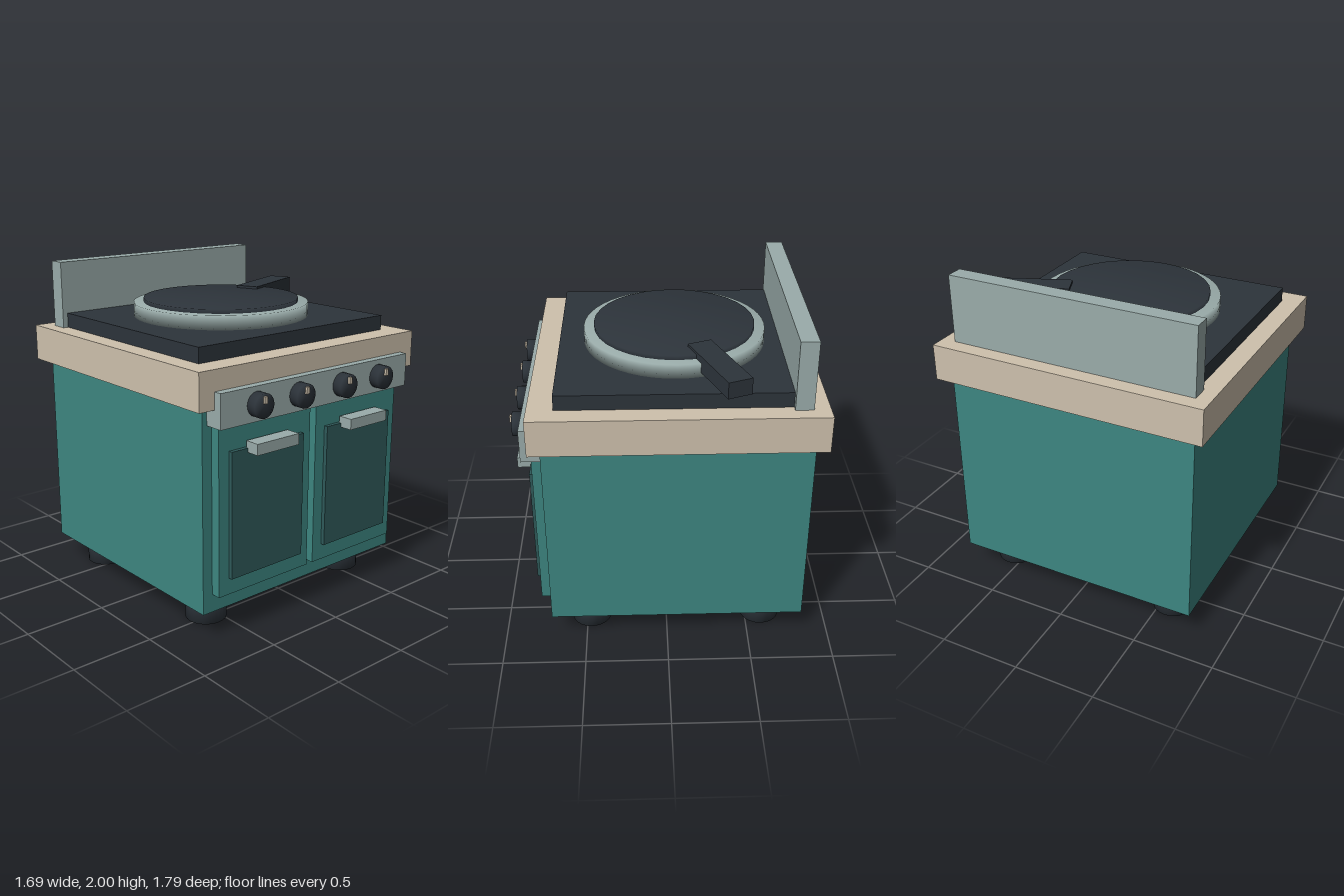
import * as THREE from 'three';
import { mergeVertices } from 'three/addons/utils/BufferGeometryUtils.js';

export function createModel() {
  const group = new THREE.Group();
  const mat = (name, color) => {
    const m = new THREE.MeshStandardMaterial({ color });
    m.name = name;
    return m;
  };
  const teal = mat('teal enamel', 0x3d8681);
  const glass = mat('dark teal glass', 0x2f5a5a);
  const cream = mat('cream worktop', 0xcec1ad);
  const steel = mat('grey steel', 0x9aacaa);
  const iron = mat('black iron', 0x2d343b);

  // Box given by its extents on each axis
  const box = (name, material, [x0, x1], [y0, y1], [z0, z1]) => {
    const mesh = new THREE.Mesh(new THREE.BoxGeometry(x1 - x0, y1 - y0, z1 - z0), material);
    mesh.position.set((x0 + x1) / 2, (y0 + y1) / 2, (z0 + z1) / 2);
    mesh.name = name;
    group.add(mesh);
    return mesh;
  };

  // Cylinder whose rim normals are averaged for soft, rounded shading
  const disc = (name, material, r, h, x, y, z, sides = 32) => {
    let geo = new THREE.CylinderGeometry(r, r, h, sides);
    geo.deleteAttribute('normal');
    geo.deleteAttribute('uv');
    geo = mergeVertices(geo, 1e-4);
    geo.computeVertexNormals();
    const mesh = new THREE.Mesh(geo, material);
    mesh.position.set(x, y, z);
    mesh.name = name;
    group.add(mesh);
    return mesh;
  };

  // Cabinet, worktop and splashback
  box('cabinet', teal, [-0.775, 0.775], [0.16, 1.37], [-0.83, 0.71]);
  box('worktop', cream, [-0.845, 0.845], [1.37, 1.59], [-0.895, 0.775]);
  box('splashback', steel, [-0.76, 0.76], [1.59, 2], [-0.8, -0.695]);

  // Feet
  for (const x of [-0.568, 0.566])
    for (const z of [0.475, -0.595]) disc('foot', iron, 0.123, 0.16, x, 0.08, z, 24);

  // Doors with windows and handles
  for (const x of [-0.368, 0.364]) {
    box('door', teal, [x - 0.342, x + 0.342], [0.27, 1.3], [0.7, 0.77]);
    box('doorWindow', glass, [x - 0.27, x + 0.27], [0.37, 1.12], [0.765, 0.795]);
    box('doorHandle', steel, [x - 0.155, x + 0.155], [1.095, 1.16], [0.78, 0.873]);
  }

  // Control panel with knobs and pointers
  box('controlPanel', steel, [-0.742, 0.738], [1.27, 1.47], [0.71, 0.825]);
  for (const x of [-0.487, -0.175, 0.168, 0.481]) {
    disc('knob', iron, 0.071, 0.07, x, 1.37, 0.85, 24).rotation.x = Math.PI / 2;
    box('knobPointer', cream, [x - 0.01, x + 0.01], [1.385, 1.425], [0.87, 0.9]);
  }

  // Hob plate, pan and pan handle
  box('hobPlate', iron, [-0.727, 0.723], [1.59, 1.68], [-0.75, 0.625]);
  disc('panRim', steel, 0.542, 0.085, 0, 1.7225, -0.063, 48);
  disc('panTop', iron, 0.481, 0.07, 0, 1.755, -0.063, 32);
  const handle = box('panHandle', iron, [0.312, 0.828], [1.707, 1.805], [-0.363, -0.217]);
  handle.rotation.y = 0.38;

  return group;
}
